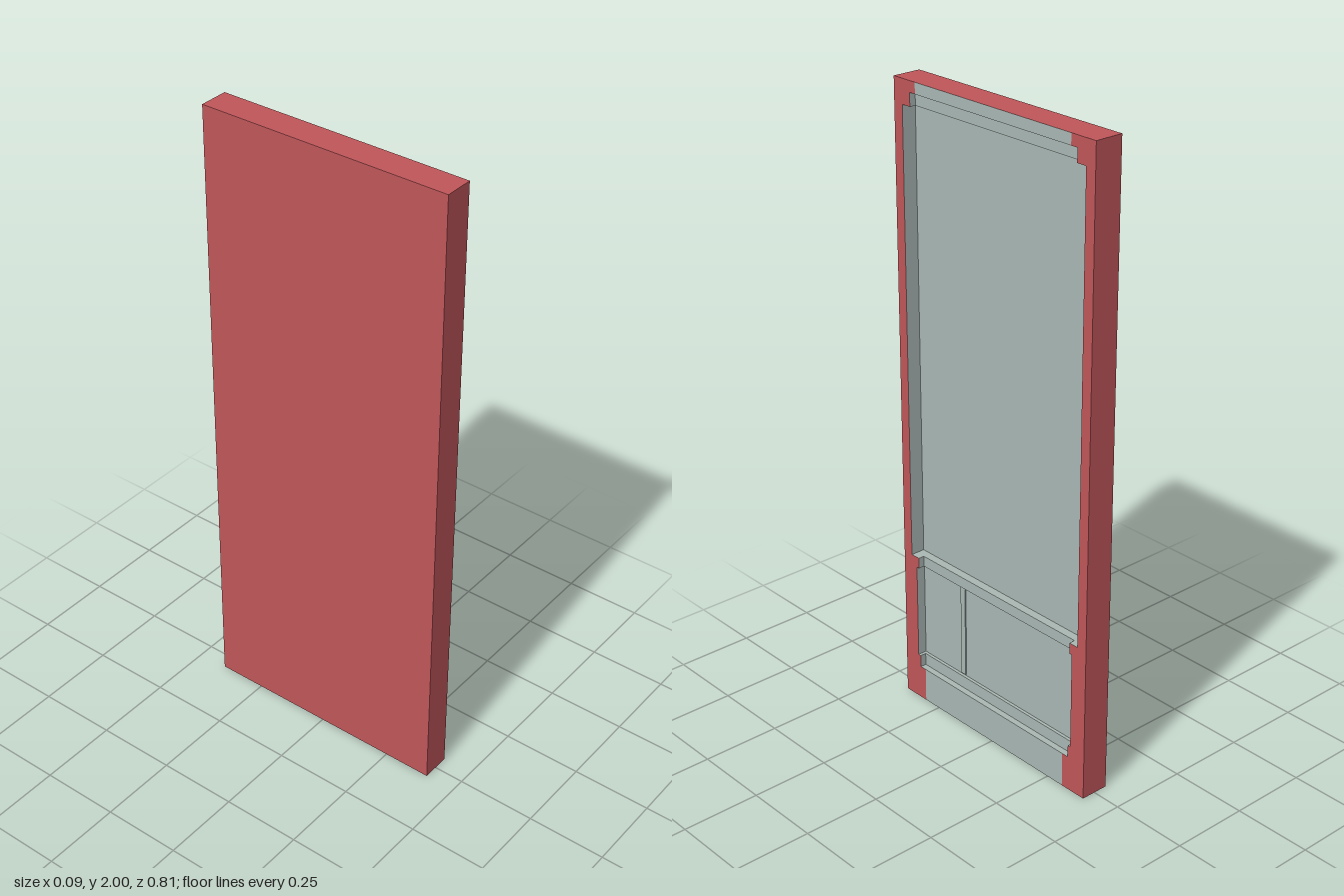
import * as THREE from 'three';

const FRONT = 0.046, HALF_Z = 0.403, HEIGHT = 2;

// Horizontal bands of the detailed face: [name, bottom, top, half width, depth]
const BANDS = [
  ['bottomRail', 0, 0.112, 0.312, 0],
  ['lowerSill', 0.112, 0.152, 0.335, 0.02],
  ['lowerPanel', 0.152, 0.465, 0.345, 0.03],
  ['middleRail', 0.465, 0.5, 0.335, 0.02],
  ['mainPanel', 0.5, 1.925, 0.368, 0.047],
  ['upperSill', 1.925, 1.966, 0.335, 0.02],
  ['topRail', 1.966, HEIGHT, 0.312, 0],
];

export function createModel() {
  const group = new THREE.Group();
  const red = new THREE.MeshStandardMaterial({ color: 0xc0565a, side: THREE.DoubleSide });
  const grey = new THREE.MeshStandardMaterial({ color: 0xaab8b4, side: THREE.DoubleSide });

  const add = (name, geometry, material, x = 0, y = 0, z = 0) => {
    const mesh = new THREE.Mesh(geometry, material);
    mesh.name = name;
    mesh.position.set(x, y, z);
    group.add(mesh);
    return mesh;
  };
  // Flat surfaces facing +x, up/down and along z
  const face = (name, mat, x, y0, y1, z0, z1) =>
    add(name, new THREE.PlaneGeometry(z1 - z0, y1 - y0).rotateY(Math.PI / 2), mat, x, (y0 + y1) / 2, (z0 + z1) / 2);
  const ledge = (name, y, d0, d1, z0, z1, up) => {
    if (Math.abs(d1 - d0) < 1e-4 || z1 - z0 < 1e-4) return;
    const g = new THREE.PlaneGeometry(Math.abs(d1 - d0), z1 - z0).rotateX(up ? -Math.PI / 2 : Math.PI / 2);
    add(name, g, grey, FRONT - (d0 + d1) / 2, y, (z0 + z1) / 2);
  };

  // Outer shell: a box without its +x face
  const shell = new THREE.BoxGeometry(FRONT * 2, HEIGHT, HALF_Z * 2);
  shell.setIndex(Array.from(shell.index.array).slice(6));
  shell.clearGroups();
  add('shell', shell, red, 0, HEIGHT / 2, 0);

  BANDS.forEach(([name, y0, y1, half, depth], i) => {
    face(name, grey, FRONT - depth, y0, y1, -half, half);
    for (const s of [-1, 1]) {
      // Red border beside the band
      face('border', red, FRONT, y0, y1, s > 0 ? half : -HALF_Z, s > 0 ? HALF_Z : -half);
      // Side wall of the recess
      if (depth > 0) {
        const wall = new THREE.PlaneGeometry(depth, y1 - y0);
        if (s > 0) wall.rotateY(Math.PI);
        add(name + 'Wall', wall, grey, FRONT - depth / 2, (y0 + y1) / 2, s * half);
      }
    }
    // Step up to the next band, with shoulders where the widths differ
    const next = BANDS[i + 1];
    if (!next) return;
    const [, , , nextHalf, nextDepth] = next;
    const inner = Math.min(half, nextHalf), outer = Math.max(half, nextHalf);
    ledge('step', y1, depth, nextDepth, -inner, inner, nextDepth > depth);
    const shoulder = nextHalf > half ? nextDepth : depth;
    ledge('shoulder', y1, 0, shoulder, inner, outer, nextHalf > half);
    ledge('shoulder', y1, 0, shoulder, -outer, -inner, nextHalf > half);
  });

  // Narrow upright strip on the lower panel
  add('divider', new THREE.BoxGeometry(0.008, 0.308, 0.02), grey, FRONT - 0.03, 0.311, 0.16);

  return group;
}
